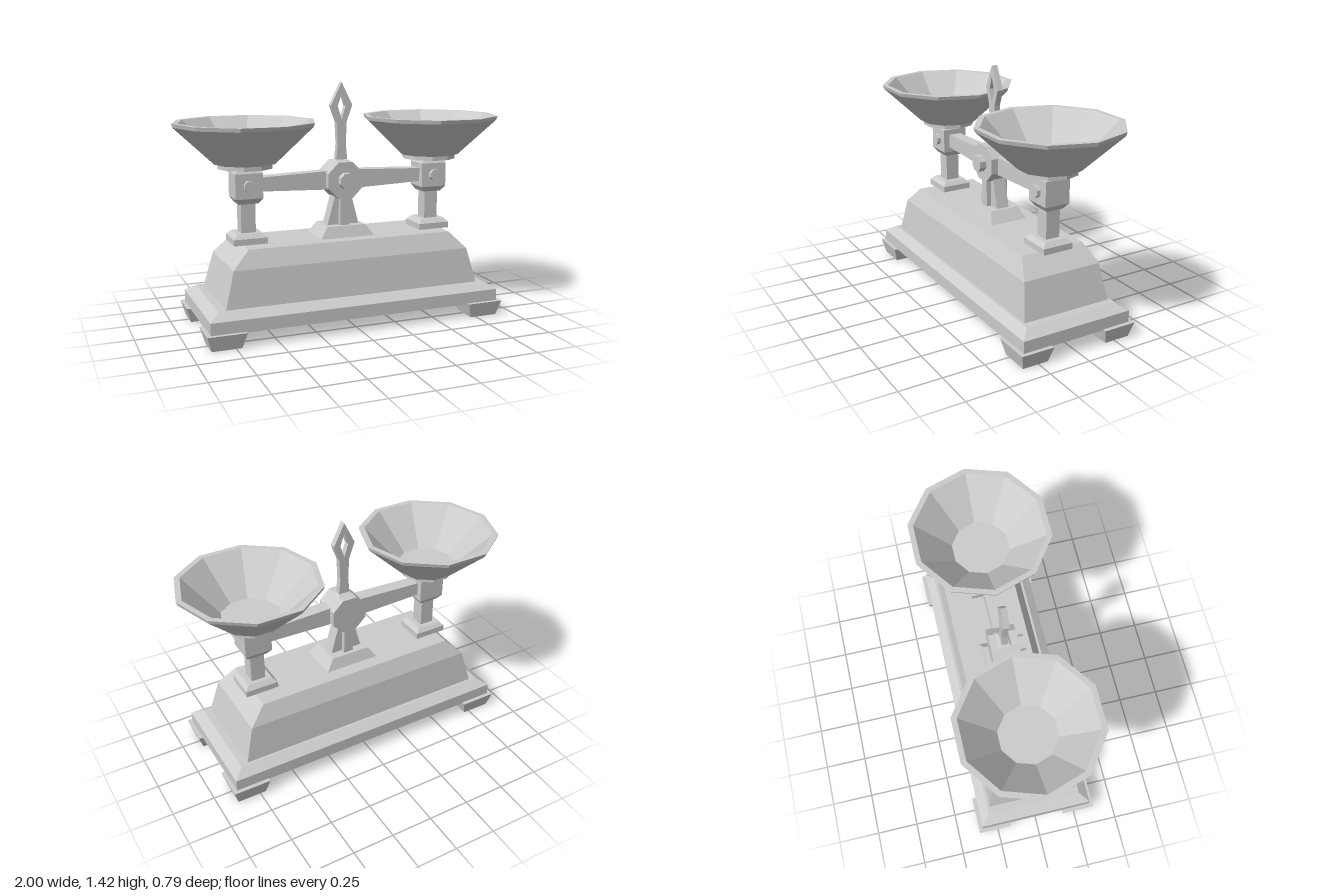
import * as THREE from 'three';

const metal = new THREE.MeshStandardMaterial({ color: 0xcccccc });
metal.name = 'grey metal';

// Facet a geometry and wrap it in a named mesh
function part(name, geometry, parent, x = 0, y = 0, z = 0) {
  const g = geometry.index ? geometry.toNonIndexed() : geometry;
  g.computeVertexNormals();
  const mesh = new THREE.Mesh(g, metal);
  mesh.name = name;
  mesh.position.set(x, y, z);
  parent.add(mesh);
  return mesh;
}

// Stack of rectangles [y, halfWidth, halfDepth], bottom to top, capped at both ends
function stack(levels) {
  const pos = [], idx = [];
  for (const [y, w, d] of levels) pos.push(-w, y, d, w, y, d, w, y, -d, -w, y, -d);
  for (let l = 0; l < levels.length - 1; l++) {
    for (let i = 0; i < 4; i++) {
      const a = l * 4 + i, b = l * 4 + (i + 1) % 4;
      idx.push(a, b, b + 4, a, b + 4, a + 4);
    }
  }
  const t = (levels.length - 1) * 4;
  idx.push(0, 2, 1, 0, 3, 2, t, t + 1, t + 2, t, t + 2, t + 3);
  const g = new THREE.BufferGeometry();
  g.setAttribute('position', new THREE.Float32BufferAttribute(pos, 3));
  g.setIndex(idx);
  return g;
}

// Outline in x and y, extruded evenly about z = 0
function plate(points, depth, hole) {
  const toV = p => new THREE.Vector2(p[0], p[1]);
  const shape = new THREE.Shape(points.map(toV));
  if (hole) shape.holes.push(new THREE.Path(hole.map(toV)));
  return new THREE.ExtrudeGeometry(shape, { depth, bevelEnabled: false }).translate(0, 0, -depth / 2);
}

// Octagonal drum lying along z, with a flat side up
function drum(radius, z0, z1) {
  return new THREE.CylinderGeometry(radius, radius, z1 - z0, 8)
    .rotateY(Math.PI / 8).rotateX(Math.PI / 2).translate(0, 0, (z0 + z1) / 2);
}

// Ten-sided turned shape with corners on the x axis
function turned(profile) {
  return new THREE.LatheGeometry(profile.map(p => new THREE.Vector2(p[0], p[1])), 10).rotateY(Math.PI / 2);
}

export function createModel() {
  const model = new THREE.Group();
  model.name = 'balanceScale';

  // Base on four feet
  part('basePlinth', stack([[0.085, 0.89, 0.345], [0.16, 0.89, 0.345], [0.2, 0.83, 0.29]]), model);
  part('baseBody', stack([[0.2, 0.785, 0.275], [0.41, 0.73, 0.245], [0.512, 0.63, 0.197]]), model);
  for (const sx of [-1, 1]) {
    for (const sz of [-1, 1]) {
      part('foot', stack([[0, 0.086, 0.078], [0.09, 0.112, 0.1]]), model, sx * 0.802, 0, sz * 0.269);
    }
  }

  // Central post: a tapered web crossed by a narrow rib
  part('postFoot', stack([[0.51, 0.17, 0.12], [0.578, 0.12, 0.093]]), model);
  part('postWeb', stack([[0.575, 0.1, 0.04], [0.78, 0.045, 0.04]]), model);
  part('postRib', stack([[0.575, 0.03, 0.07], [0.78, 0.026, 0.07]]), model);

  // Hub with its pivot bolt
  part('hub', drum(0.117, -0.083, 0.083), model, 0, 0.848);
  part('hubBolt', drum(0.05, 0.07, 0.124), model, 0, 0.848);

  // Pointer with a diamond eye
  part('pointerFoot', stack([[0.95, 0.055, 0.045], [0.965, 0.035, 0.025]]), model);
  const edge = [[0.036, 0.95], [0.026, 1.06], [0.032, 1.19], [0.067, 1.285]];
  const outline = [...edge, [0, 1.42], ...edge.map(([x, y]) => [-x, y]).reverse()];
  part('pointer', plate(outline, 0.036, [[0, 1.205], [-0.025, 1.28], [0, 1.355], [0.025, 1.28]]), model);

  for (const s of [-1, 1]) {
    const name = s > 0 ? 'left' : 'right';
    const arm = new THREE.Group();
    arm.name = name + 'Side';
    arm.position.x = s * 0.585;
    model.add(arm);

    // Beam arm, narrowing outwards
    const beam = [[0.1, 0.793], [0.52, 0.808], [0.52, 0.888], [0.1, 0.903]];
    const pts = beam.map(([x, y]) => [s * x - s * 0.585, y]);
    part('beam', plate(pts, 0.08), arm);

    // Column and head block
    part('columnFoot', stack([[0.512, 0.1, 0.093], [0.548, 0.1, 0.093], [0.573, 0.075, 0.07]]), arm);
    part('column', stack([[0.57, 0.043, 0.043], [0.75, 0.043, 0.043]]), arm);
    part('head', stack([[0.742, 0.058, 0.052], [0.775, 0.081, 0.077], [0.92, 0.081, 0.077],
      [0.95, 0.06, 0.055]]), arm);
    part('headBolt', drum(0.035, 0.07, 0.1), arm, 0, 0.848);

    // Faceted pan on its mounting disc
    part('panMount', turned([[0, 0.945], [0.162, 0.945], [0.162, 0.978], [0, 0.978]]), arm);
    part('pan', turned([[0, 0.972], [0.18, 0.972], [0.408, 1.188], [0.415, 1.21],
      [0.382, 1.21], [0.172, 0.995], [0, 0.995]]), arm);
  }
  return model;
}
